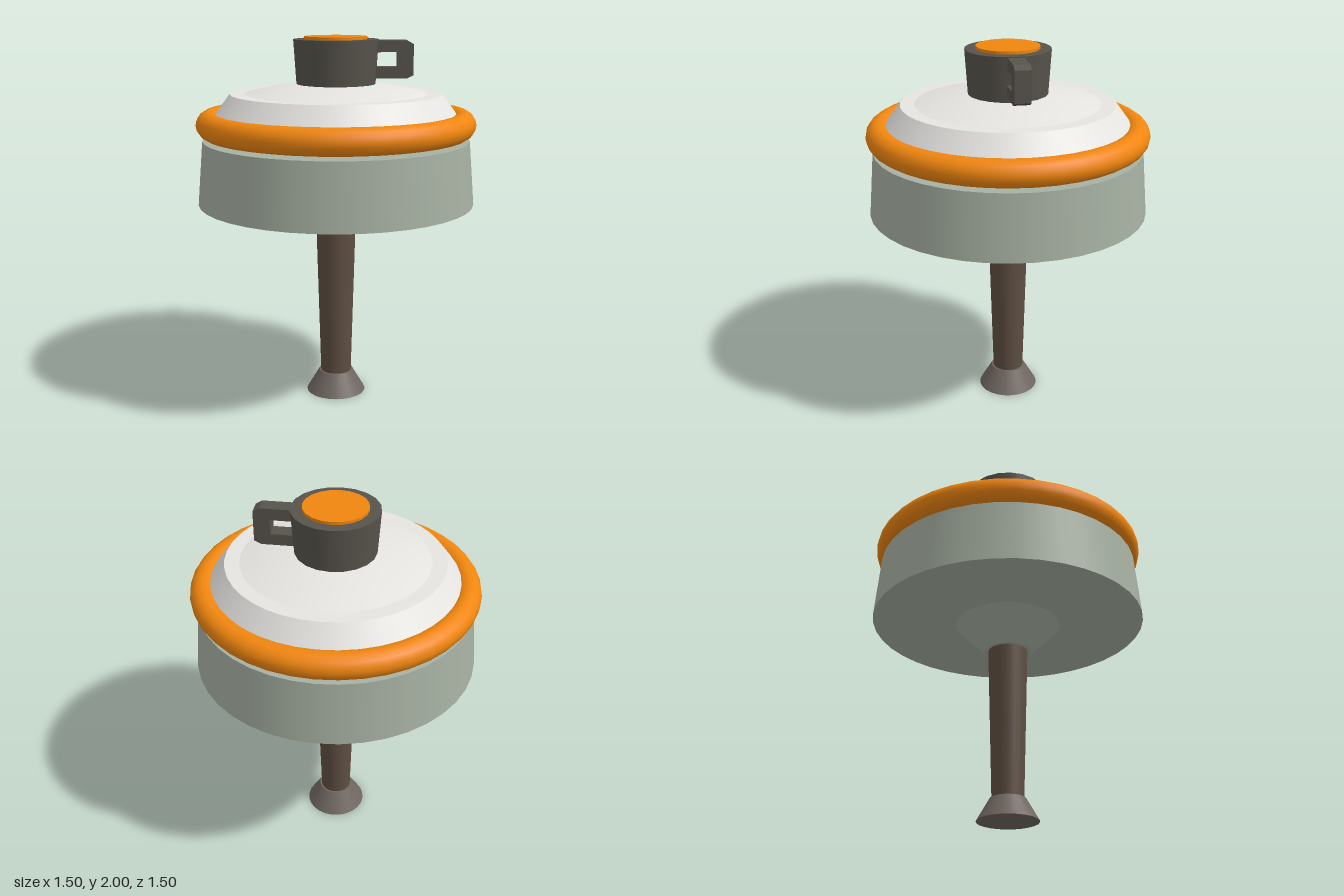
import * as THREE from 'three';

const SAGE = 0xa6b0a2, ORANGE = 0xf0860f, DARK = 0x57534c, WHITE = 0xe6e4e1, WOOD = 0x5e4e42, FOOT = 0x6f6660;

export function createModel() {
  const model = new THREE.Group();

  const add = (name, geometry, color) => {
    const mesh = new THREE.Mesh(geometry, new THREE.MeshStandardMaterial({ color }));
    mesh.name = name;
    model.add(mesh);
    return mesh;
  };

  // Tapered round part between two heights
  const taper = (name, y0, r0, y1, r1, sides, color) => {
    add(name, new THREE.CylinderGeometry(r1, r0, y1 - y0, sides), color).position.y = (y0 + y1) / 2;
  };

  // Stem and body
  taper('foot', 0, 0.165, 0.12, 0.095, 24, FOOT);
  taper('stem', 0.12, 0.085, 0.95, 0.108, 24, WOOD);
  taper('collar', 0.95, 0.13, 1.11, 0.29, 32, SAGE);
  taper('drum', 1.11, 0.75, 1.455, 0.72, 40, SAGE);

  // Lid: waist hidden behind the ring, sloped shoulder, shallow dome
  taper('lidBase', 1.455, 0.57, 1.59, 0.65, 40, WHITE);
  taper('lidShoulder', 1.59, 0.65, 1.7, 0.567, 40, WHITE);
  const dome = [];
  for (let i = 0; i <= 8; i++) {
    const r = 0.49 * (1 - i / 8);
    dome.push(new THREE.Vector2(r, 1.762 - 0.258 * r * r));
  }
  add('dome', new THREE.LatheGeometry(dome, 40), WHITE);

  // Ring around the lid
  const ring = add('ring', new THREE.TorusGeometry(0.682, 0.07, 16, 40), ORANGE);
  ring.rotation.x = Math.PI / 2;
  ring.position.y = 1.54;

  // Top cap with inset button
  taper('cap', 1.74, 0.211, 1.985, 0.227, 20, DARK);
  taper('button', 1.96, 0.168, 2, 0.168, 20, ORANGE);

  // Side handle: bracket with chamfered outer corners
  const bracket = new THREE.Shape([
    [0.18, 1.78], [0.375, 1.78], [0.41, 1.798], [0.41, 1.96], [0.375, 1.98], [0.18, 1.98],
    [0.18, 1.918], [0.325, 1.918], [0.325, 1.84], [0.18, 1.84],
  ].map(([x, y]) => new THREE.Vector2(x, y)));
  const handle = new THREE.ExtrudeGeometry(bracket, { depth: 0.084, bevelEnabled: false });
  add('handle', handle.translate(0, 0, -0.042), DARK);

  return model;
}
